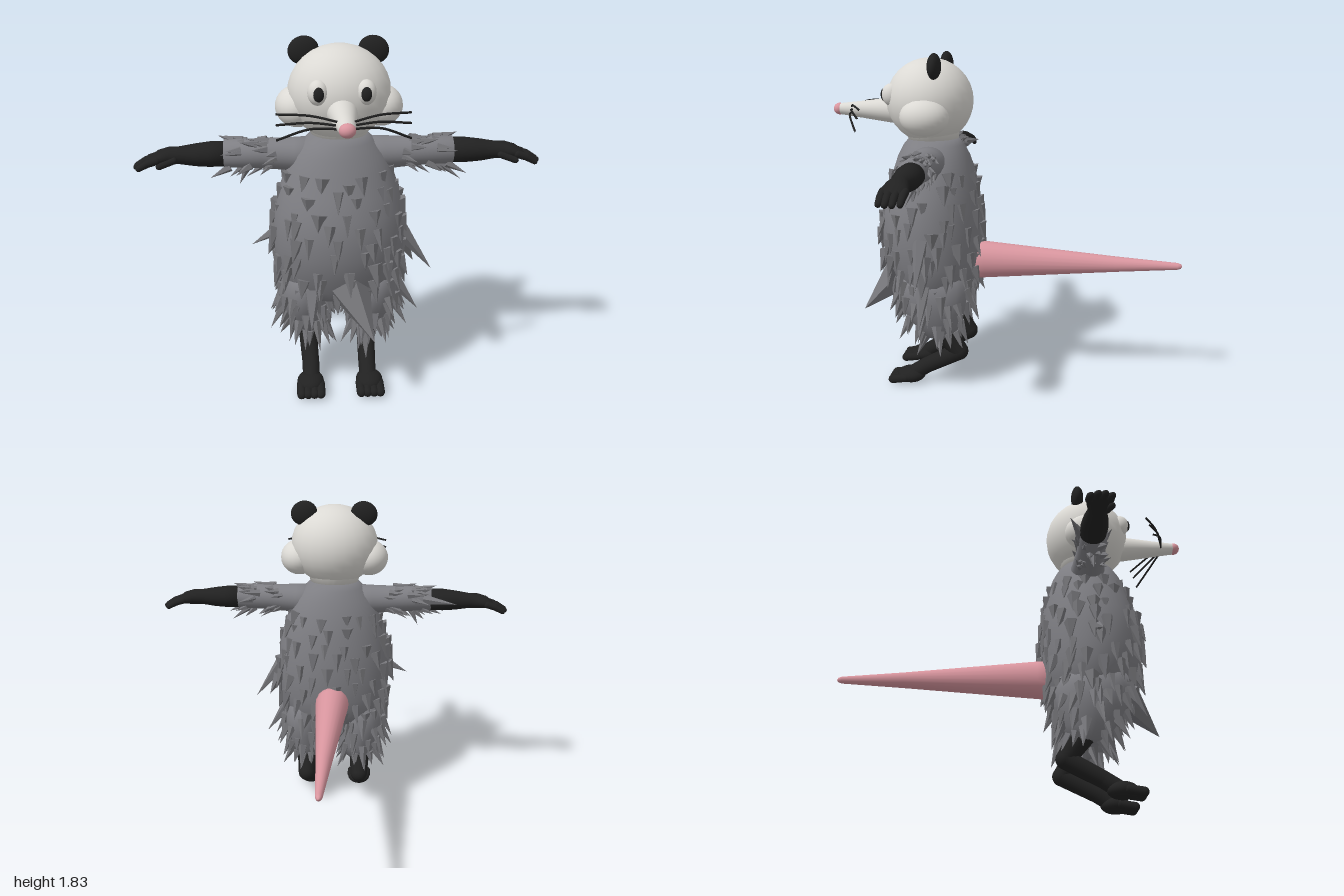
import * as THREE from 'three';
import { mergeGeometries, toCreasedNormals } from 'three/addons/utils/BufferGeometryUtils.js';

const mat = (name, color, opts = {}) => Object.assign(new THREE.MeshStandardMaterial({ color, ...opts }), { name });
const V = (x, y, z) => new THREE.Vector3(x, y, z);

// Smooth closed tube along an axis; stations are [position, centreA, centreB, radiusA, radiusB]
// with A, B the next two axes in cyclic order (y: A = z, B = x).
function loft(axis, stations, seg = 28) {
  const n = stations.length, pos = [], idx = [];
  const put = (p, a, b) => {
    const v = [0, 0, 0];
    v[axis] = p; v[(axis + 1) % 3] = a; v[(axis + 2) % 3] = b;
    pos.push(...v);
  };
  for (const [p, ca, cb, ra, rb] of stations)
    for (let k = 0; k < seg; k++) {
      const t = k / seg * Math.PI * 2;
      put(p, ca + ra * Math.cos(t), cb + rb * Math.sin(t));
    }
  const first = n * seg, last = first + 1;
  put(...stations[0].slice(0, 3));
  put(...stations[n - 1].slice(0, 3));
  for (let k = 0; k < seg; k++) {
    const m = (k + 1) % seg, top = (n - 1) * seg;
    for (let i = 0; i < n - 1; i++) {
      const a = i * seg + k, b = i * seg + m;
      idx.push(a, b, b + seg, a, b + seg, a + seg);
    }
    idx.push(first, m, k, last, top + k, top + m);
  }
  const g = new THREE.BufferGeometry();
  g.setAttribute('position', new THREE.Float32BufferAttribute(pos, 3));
  g.setIndex(idx);
  g.computeVertexNormals();
  return g;
}

function ball(x, y, z, rx, ry = rx, rz = rx) {
  return new THREE.SphereGeometry(1, 24, 16).scale(rx, ry, rz).translate(x, y, z);
}

// Turn a geometry built along +y so that it runs from a to b
function align(g, a, b) {
  const q = new THREE.Quaternion().setFromUnitVectors(V(0, 1, 0), b.clone().sub(a).normalize());
  return g.applyQuaternion(q).translate((a.x + b.x) / 2, (a.y + b.y) / 2, (a.z + b.z) / 2);
}

// Chain of tapered limbs with round joints; points are [x, y, z, radius]
function limb(points) {
  const parts = [];
  points.forEach(([x, y, z, r], i) => {
    parts.push(new THREE.SphereGeometry(r, 16, 12).translate(x, y, z));
    if (!i) return;
    const [px, py, pz, pr] = points[i - 1], a = V(px, py, pz), b = V(x, y, z);
    parts.push(align(new THREE.CylinderGeometry(r, pr, a.distanceTo(b), 16, 1, true), a, b));
  });
  return mergeGeometries(parts);
}

function spike(a, b, r) {
  return align(new THREE.ConeGeometry(r, a.distanceTo(b), 5), a, b);
}

// Mirror across x, keeping the faces outward
function mirror(g) {
  const m = g.clone().scale(-1, 1, 1), i = m.index.array;
  for (let k = 0; k < i.length; k += 3) [i[k], i[k + 1]] = [i[k + 1], i[k]];
  return m;
}

export function createModel() {
  const root = new THREE.Group();
  const fur = mat('grey fur', 0x7f7f84), tuftMat = mat('tuft grey', 0x77777b, { flatShading: true });
  const white = mat('white', 0xdbd9d4), black = mat('black', 0x212121);
  const pink = mat('pink', 0xd9969f);
  const add = (name, g, m) => {
    const mesh = new THREE.Mesh(g, m);
    mesh.name = name;
    root.add(mesh);
  };
  const pair = (name, g, m) => {
    add('left' + name, g, m);
    add('right' + name, mirror(g), m);
  };
  let seed = 7;
  const rnd = (lo = 0, hi = 1) => {
    seed = (seed * 16807) % 2147483647;
    return lo + (hi - lo) * seed / 2147483647;
  };

  // Torso: [y, z, x, half depth, half width]
  const torso = [
    [0.5, 0.40, 0, 0.10, 0.12], [0.54, 0.40, 0, 0.19, 0.25], [0.6, 0.40, 0, 0.225, 0.295],
    [0.7, 0.41, 0, 0.26, 0.32], [0.8, 0.42, 0, 0.275, 0.33], [0.9, 0.42, 0, 0.28, 0.33],
    [1.0, 0.42, 0, 0.27, 0.32], [1.1, 0.41, 0, 0.25, 0.295], [1.2, 0.405, 0, 0.222, 0.262],
    [1.28, 0.405, 0, 0.195, 0.225], [1.34, 0.405, 0, 0.165, 0.17], [1.375, 0.405, 0, 0.135, 0.135]];
  add('torso', loft(1, torso), fur);

  // Upper legs
  const thigh = [
    [0.29, 0.36, 0.15, 0.085, 0.075], [0.36, 0.375, 0.16, 0.13, 0.1], [0.45, 0.39, 0.17, 0.175, 0.125],
    [0.55, 0.40, 0.17, 0.2, 0.135], [0.66, 0.41, 0.16, 0.18, 0.12]];
  pair('Thigh', loft(1, thigh), fur);

  // Sleeves and dark forearms
  pair('Sleeve', loft(0, [[0.1, 1.26, 0.4, 0.09, 0.11], [0.22, 1.262, 0.4, 0.082, 0.09],
    [0.38, 1.267, 0.4, 0.073, 0.075], [0.56, 1.27, 0.4, 0.069, 0.072]]), fur);
  pair('Forearm', loft(0, [[0.54, 1.268, 0.395, 0.062, 0.066], [0.63, 1.266, 0.395, 0.062, 0.07],
    [0.7, 1.264, 0.395, 0.055, 0.063], [0.78, 1.263, 0.395, 0.043, 0.045], [0.83, 1.262, 0.395, 0.042, 0.058],
    [0.88, 1.255, 0.395, 0.033, 0.064], [0.92, 1.245, 0.395, 0.015, 0.045]]), black);
  for (let i = 0; i < 4; i++) {
    const z = 0.346 + i * 0.033, reach = i % 3 ? 0 : 0.015;
    pair('Finger' + (i + 1), limb([[0.88, 1.252, z, 0.02], [0.94 - reach, 1.238, z, 0.019],
      [0.985 - reach, 1.213, z, 0.015]]), black);
  }
  pair('Thumb', limb([[0.8, 1.25, 0.44, 0.018], [0.87, 1.225, 0.455, 0.016]]), black);

  // Bent lower legs, feet and toes
  pair('Shin', limb([[0.16, 0.35, 0.36, 0.065], [0.16, 0.2, 0.25, 0.05], [0.15, 0.1, 0.44, 0.045],
    [0.15, 0.055, 0.51, 0.045]]), black);
  pair('Foot', ball(0.155, 0.045, 0.53, 0.07, 0.045, 0.08), black);
  for (let i = 0; i < 4; i++) {
    const x = 0.105 + i * 0.033;
    pair('Toe' + (i + 1), limb([[x, 0.04, 0.55, 0.024], [x, 0.028, 0.627, 0.024]]), black);
  }

  // Tail: [z, x, y, half width, half height]
  add('tail', loft(2, [[-0.96, 0, 0.69, 0.004, 0.004], [-0.953, 0, 0.69, 0.012, 0.013], [-0.935, 0, 0.69, 0.018, 0.019],
    [-0.6, 0, 0.69, 0.04, 0.043], [0.12, 0, 0.692, 0.093, 0.103], [0.22, 0, 0.692, 0.1, 0.11]], 20), pink);

  // Head, neck and cheeks
  add('head', ball(0, 1.575, 0.42, 0.248, 0.228, 0.234), white);
  add('neck', loft(1, [[1.36, 0.405, 0, 0.135, 0.135], [1.41, 0.41, 0, 0.145, 0.15], [1.48, 0.41, 0, 0.19, 0.2]]), white);
  pair('Cheek', ball(0.2, 1.505, 0.41, 0.108, 0.1, 0.13), white);
  pair('Ear', ball(0.168, 1.762, 0.36, 0.075, 0.068, 0.035).translate(-0.168, -1.762, 0)
    .rotateZ(-0.35).translate(0.168, 1.762, 0), black);

  // Snout and nose
  add('snout', loft(2, [[0.52, 0, 1.52, 0.085, 0.08], [0.64, 0, 1.52, 0.07, 0.068],
    [0.8, 0, 1.522, 0.05, 0.046], [0.925, 0, 1.524, 0.035, 0.03]]), white);
  add('nose', ball(0, 1.524, 0.928, 0.037, 0.032, 0.033), pink);

  // Eyes and pupils
  pair('Eye', ball(0.108, 1.612, 0.605, 0.05, 0.06, 0.052), white);
  pair('Pupil', ball(0.108, 1.612, 0.646, 0.025, 0.034, 0.017), black);

  // Whiskers
  [[1.54, 1.558, 1.545], [1.525, 1.53, 1.5], [1.51, 1.505, 1.435]].forEach(([y0, y1, y2], i) => {
    const curve = new THREE.CatmullRomCurve3([V(0.03, y0, 0.85), V(0.15, y1, 0.805 + i * 0.01),
      V(0.3, y2, 0.72 + i * 0.015)]);
    pair('Whisker' + (i + 1), new THREE.TubeGeometry(curve, 12, 0.0055, 6), black);
  });

  // Fur tufts scattered over the torso, pointing down and outward
  const tufts = [];
  const scatter = (rings, y, angle, length, flare, r) => {
    const i = Math.min(rings.findIndex(s => s[0] >= y), rings.length - 1), lo = rings[i - 1], hi = rings[i];
    const t = (y - lo[0]) / (hi[0] - lo[0]);
    const [, cz, cx, rz, rx] = lo.map((v, k) => v + (hi[k] - v) * t);
    const s = Math.sin(angle), c = Math.cos(angle);
    const base = V(cx + rx * 0.97 * s, y, cz + rz * 0.97 * c);
    const tip = base.clone().add(V(s * flare, -1, c * flare).normalize().multiplyScalar(length));
    tufts.push(spike(base, tip, r));
  };
  for (let row = 0; row < 9; row++)
    for (let k = 0; k < 15; k++)
      scatter(torso, 1.2 - row * 0.075 + rnd(-0.025, 0.025), (k + (row % 2) / 2 + rnd(-0.35, 0.35)) / 15 * Math.PI * 2,
        rnd(0.07, 0.11) + row * 0.004, rnd(0.1, 0.45), rnd(0.025, 0.042));
  add('torsoTufts', mergeGeometries(tufts), tuftMat);

  // Ragged tufts down each leg
  tufts.length = 0;
  for (let row = 0; row < 5; row++)
    for (let k = 0; k < 10; k++)
      scatter(thigh, 0.56 - row * 0.06 + rnd(-0.02, 0.02), (k + rnd()) / 10 * Math.PI * 2,
        rnd(0.08, 0.15), rnd(0.2, 0.6), rnd(0.02, 0.032));
  pair('LegTufts', mergeGeometries(tufts), tuftMat);

  // Sleeve tufts sweeping toward the hands
  tufts.length = 0;
  for (let k = 0; k < 40; k++) {
    const t = rnd(0, Math.PI * 2), x = rnd(0.3, 0.54), c = Math.cos(t), s = Math.sin(t), out = rnd(0.01, 0.045);
    const base = V(x, 1.268 + 0.066 * c, 0.4 + 0.07 * s);
    tufts.push(spike(base, base.clone().add(V(rnd(0.04, 0.1), c * out - 0.015, s * out)), rnd(0.014, 0.024)));
  }
  pair('SleeveTufts', mergeGeometries(tufts), tuftMat);

  // Long stray tufts
  const stray = [
    [0.31, 0.86, 0.42, 0.48, 0.63, 0.42, 0.045], [-0.31, 0.87, 0.42, -0.44, 0.8, 0.44, 0.03],
    [0.27, 0.6, 0.42, 0.415, 0.4, 0.42, 0.045], [-0.26, 0.58, 0.42, -0.35, 0.41, 0.42, 0.035],
    [0.04, 0.62, 0.59, 0.15, 0.42, 0.79, 0.11], [-0.14, 0.6, 0.58, -0.15, 0.43, 0.68, 0.05],
    [0.14, 0.33, 0.42, 0.14, 0.15, 0.5, 0.04], [-0.17, 0.33, 0.42, -0.18, 0.2, 0.48, 0.035],
    [-0.52, 1.28, 0.34, -0.7, 1.27, 0.27, 0.03], [0.48, 1.22, 0.4, 0.61, 1.12, 0.42, 0.025],
    [-0.44, 1.22, 0.4, -0.49, 1.11, 0.4, 0.025], [0.33, 0.78, 0.4, 0.39, 0.66, 0.38, 0.04]];
  add('strayTufts', mergeGeometries(stray.map(([a, b, c, d, e, f, r]) => spike(V(a, b, c), V(d, e, f), r))), tuftMat);
  return root;
}
